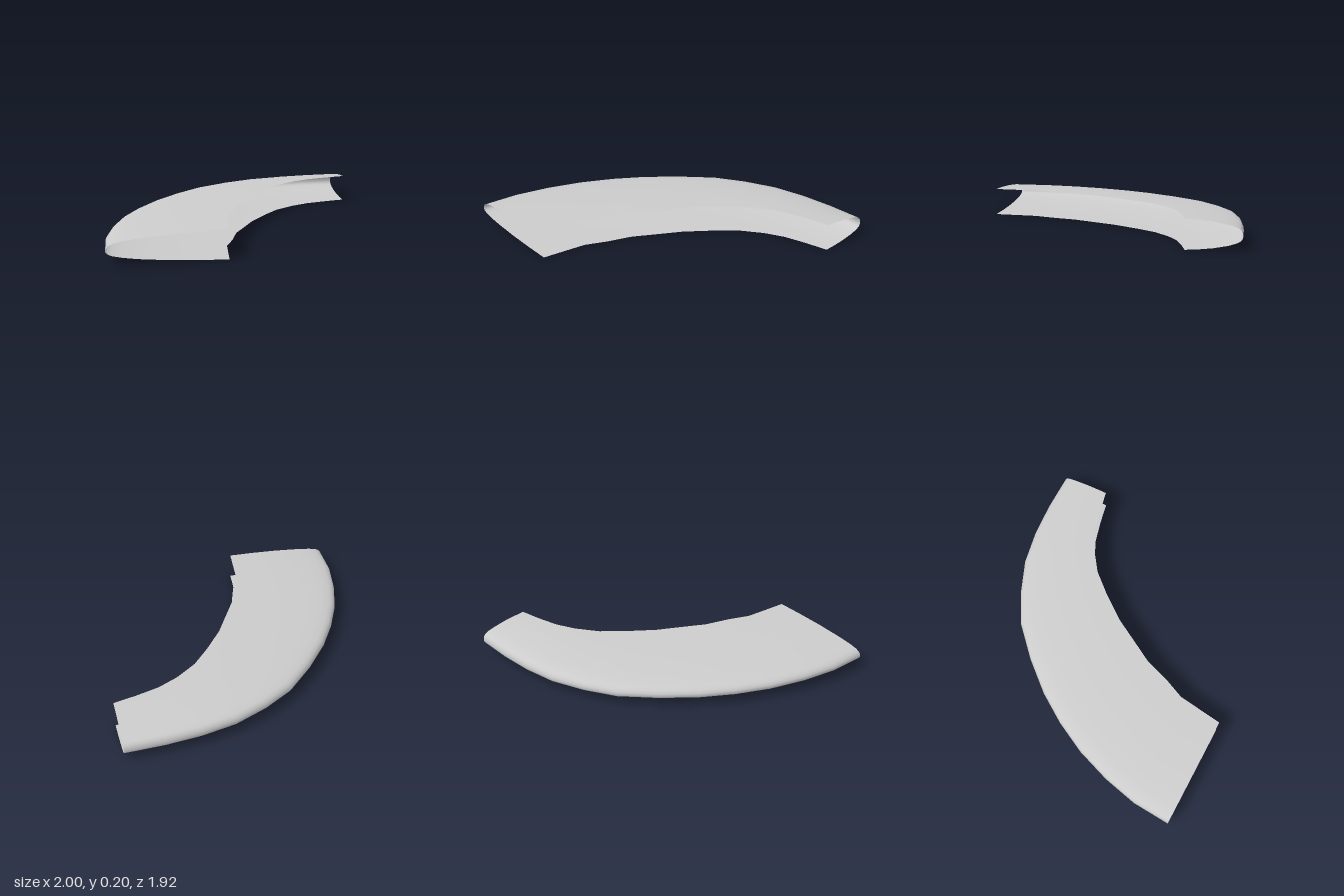
import * as THREE from 'three';

// Plan-view stations [x, z] of the closed outer edge and the open inner edge
const OUTER = [[-1, 0.96], [-0.985, 0.69], [-0.93, 0.44], [-0.845, 0.19], [-0.73, -0.04], [-0.595, -0.25], [-0.415, -0.465],
  [-0.21, -0.665], [0, -0.79], [0.235, -0.89], [0.48, -0.94], [0.73, -0.962], [1, -0.965]];
const INNER = [[-0.22, 0.96], [-0.2, 0.8], [-0.18, 0.64], [-0.115, 0.49], [-0.055, 0.31], [0.035, 0.15], [0.13, -0.02],
  [0.265, -0.2], [0.39, -0.345], [0.54, -0.455], [0.68, -0.525], [0.84, -0.57], [1, -0.605]];

// Section [t, y]: t runs from the outer lip (0) to the open inner edge (1)
const SECTION = [[1, 0], [0.77, 0.005], [0.51, 0.015], [0.26, 0.032], [0.13, 0.046], [0.05, 0.06], [0.015, 0.072],
  [0, 0.088], [0.006, 0.108], [0.025, 0.126], [0.06, 0.139], [0.13, 0.151], [0.26, 0.164], [0.51, 0.181], [0.77, 0.191], [1, 0.196]];

// Sweep the section between the two edges as an open shell
function sweptShell(outer, inner, section) {
  const positions = [], index = [], n = section.length;
  outer.forEach(([ox, oz], i) => {
    const [ix, iz] = inner[i];
    for (const [t, y] of section) positions.push(ox + (ix - ox) * t, y, oz + (iz - oz) * t);
    if (i === 0) return;
    for (let j = 0; j < n - 1; j++) {
      const a = (i - 1) * n + j, b = a + n;
      index.push(a, a + 1, b, a + 1, b + 1, b);
    }
  });
  const geometry = new THREE.BufferGeometry();
  geometry.setAttribute('position', new THREE.Float32BufferAttribute(positions, 3));
  geometry.setIndex(index);
  geometry.computeVertexNormals();
  return geometry;
}

export function createModel() {
  const group = new THREE.Group();
  group.name = 'curvedEdgeTrim';
  const material = new THREE.MeshStandardMaterial({ color: 0xcccccc, side: THREE.DoubleSide });
  const shell = new THREE.Mesh(sweptShell(OUTER, INNER, SECTION), material);
  shell.name = 'curvedShell';
  group.add(shell);
  return group;
}
